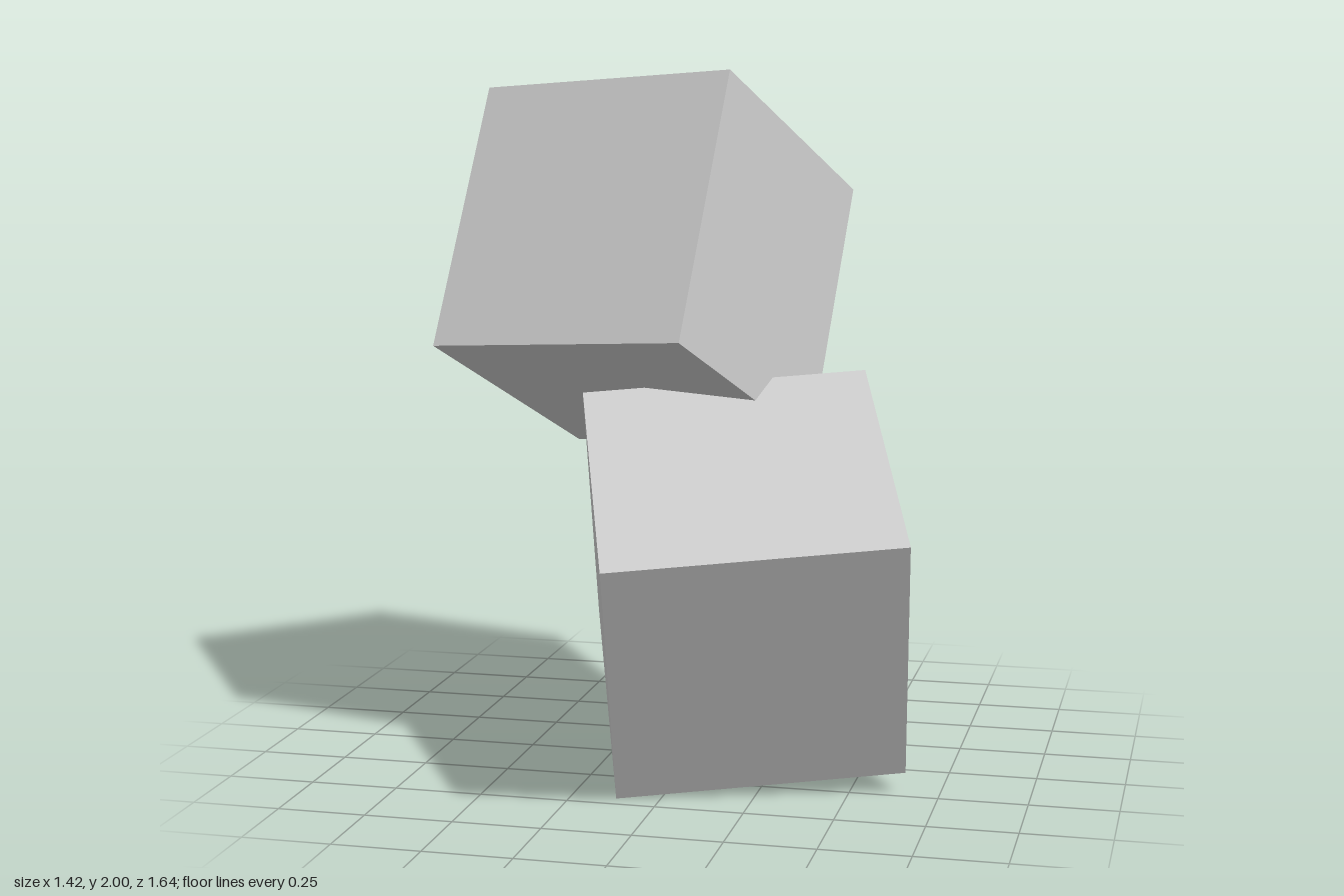
import * as THREE from 'three';

const SIDE = 0.812;

export function createModel() {
  const group = new THREE.Group();
  const material = new THREE.MeshStandardMaterial({ color: 0xcccccc, flatShading: true });

  // Two equal cubes, tilted opposite ways and overlapping near the middle
  for (const [name, s] of [['upperCube', 1], ['lowerCube', -1]]) {
    const cube = new THREE.Mesh(new THREE.BoxGeometry(SIDE, SIDE, SIDE), material);
    cube.name = name;
    cube.position.set(-0.178 * s, 1 + 0.4275 * s, -0.177 * s);
    cube.rotation.set(-0.495 * s, -0.294 * s, -0.075);
    group.add(cube);
  }
  return group;
}
